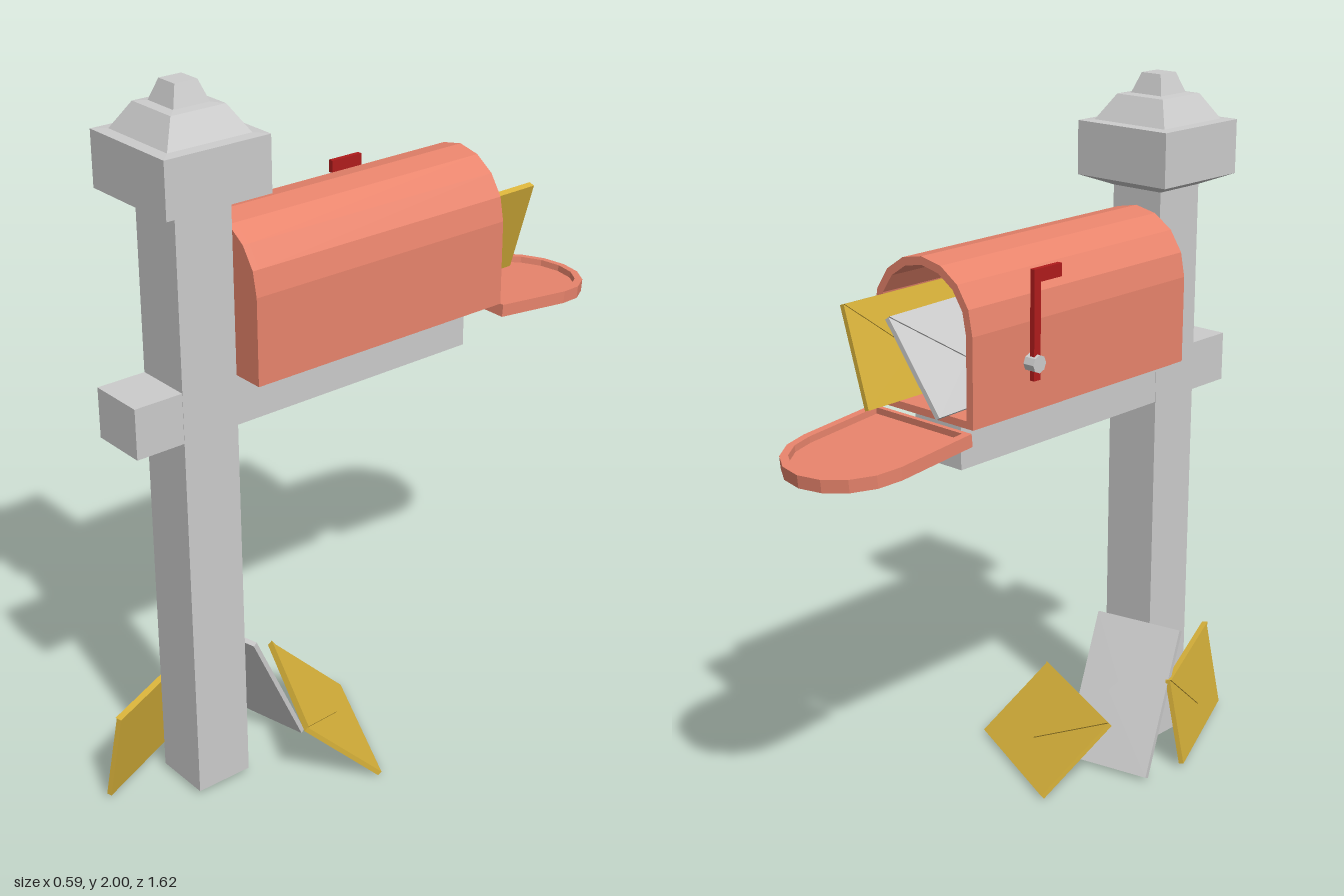
import * as THREE from 'three';

const mat = (color) => new THREE.MeshStandardMaterial({ color, flatShading: true });
const GREY = mat(0xcccccc), SALMON = mat(0xe8846c), YELLOW = mat(0xd8b23a), RED = mat(0xb01c1c);

function mesh(name, geometry, material, x = 0, y = 0, z = 0) {
  const m = new THREE.Mesh(geometry, material);
  m.name = name;
  m.position.set(x, y, z);
  return m;
}
const box = (name, material, w, h, d, x, y, z) =>
  mesh(name, new THREE.BoxGeometry(w, h, d), material, x, y, z);

// Round-topped outline: straight sides, then a half circle
function arch(r, y0, y1, Type = THREE.Shape) {
  const s = new Type();
  s.moveTo(-r, y0);
  s.lineTo(r, y0);
  s.lineTo(r, y1);
  s.absarc(0, y1, r, 0, Math.PI, false);
  s.closePath();
  return s;
}
const extrude = (shape, depth) =>
  new THREE.ExtrudeGeometry(shape, { depth, bevelEnabled: false, curveSegments: 4 });

// Envelope from one corner, its long edge and its short edge; the flap lies on the long x short side
function envelope(name, material, corner, long, short) {
  const o = new THREE.Vector3(...corner), u = new THREE.Vector3(...long), v = new THREE.Vector3(...short);
  const w = u.length(), h = v.length(), t = 0.014;
  const g = new THREE.Group();
  g.name = name;
  g.add(box('envelopeBody', material, w, h, t, 0, 0, 0));
  const flap = new THREE.Shape([
    new THREE.Vector2(-w / 2, h / 2), new THREE.Vector2(0, -h * 0.16), new THREE.Vector2(w / 2, h / 2)]);
  g.add(mesh('envelopeFlap', extrude(flap, 0.004), material, 0, 0, t / 2));
  const x = u.clone().normalize(), z = u.clone().cross(v).normalize(), y = z.clone().cross(x);
  g.quaternion.setFromRotationMatrix(new THREE.Matrix4().makeBasis(x, y, z));
  g.position.copy(o).addScaledVector(u, 0.5).addScaledVector(v, 0.5);
  return g;
}

export function createModel() {
  const model = new THREE.Group();
  model.name = 'mailboxOnPost';

  // Post, arm and mailbox share a slight turn about the post
  const stand = new THREE.Group();
  stand.name = 'stand';
  stand.position.set(-0.042, 0, 0.525);
  stand.rotation.y = -0.018;
  model.add(stand);

  stand.add(box('post', GREY, 0.167, 1.685, 0.167, 0, 0.8575, 0));
  stand.add(box('crossArm', GREY, 0.165, 0.14, 1.09, 0, 1.16, -0.32));

  // Stepped square cap: half width, height
  const cap = [[0.083, 1.69], [0.155, 1.72], [0.155, 1.87], [0.123, 1.872], [0.08, 1.942],
    [0.053, 1.945], [0.033, 2.0], [0, 2.0]]
    .map(([r, y]) => new THREE.Vector2(r * Math.SQRT2, y));
  const capMesh = mesh('postCap', new THREE.LatheGeometry(cap, 4), GREY);
  capMesh.rotation.y = Math.PI / 4;
  stand.add(capMesh);

  // Hollow mailbox, open at the back
  const shell = arch(0.175, 1.23, 1.47);
  shell.holes.push(arch(0.153, 1.25, 1.47, THREE.Path));
  stand.add(mesh('mailboxShell', extrude(shell, 0.81), SALMON, 0, 0, -0.915));
  stand.add(mesh('mailboxEndWall', extrude(arch(0.175, 1.23, 1.47), 0.02), SALMON, 0, 0, -0.105));

  // Lowered door with a raised rim
  const door = new THREE.Group();
  door.name = 'door';
  door.position.set(0, 1.19, -0.92);
  door.rotation.x = -Math.PI / 2 - 0.1;
  const rim = arch(0.178, 0, 0.242);
  rim.holes.push(arch(0.156, 0.012, 0.242, THREE.Path));
  door.add(mesh('doorPanel', extrude(arch(0.178, 0, 0.242), 0.017), SALMON));
  door.add(mesh('doorRim', extrude(rim, 0.018), SALMON, 0, 0, 0.017));
  stand.add(door);

  // Raised flag on its pivot
  const flag = new THREE.Group();
  flag.name = 'flag';
  flag.position.set(-0.196, 1.365, -0.71);
  flag.add(box('flagPole', RED, 0.014, 0.29, 0.024, 0, 0.1, 0));
  flag.add(box('flagTip', RED, 0.014, 0.035, 0.078, 0, 0.2275, 0.051));
  const pivot = mesh('flagPivot', new THREE.CylinderGeometry(0.024, 0.024, 0.034, 8), GREY, 0.002, 0, 0);
  pivot.rotation.z = Math.PI / 2;
  flag.add(pivot);
  stand.add(flag);

  // Letters in the box
  model.add(envelope('yellowLetterInBox', YELLOW, [0.025, 1.268, -0.54], [0, 0, 0.44], [0.08, 0.26, 0]));
  model.add(envelope('greyLetterInBox', GREY, [-0.135, 1.26, -0.45], [0.02, 0, 0.44], [0.165, 0.23, -0.01]));

  // Letters around the foot of the post
  model.add(envelope('greyLetterBehindPost', GREY, [0.04, 0.405, 0.405], [-0.035, -0.395, -0.19], [-0.265, 0, 0.055]));
  model.add(envelope('yellowLetterBesidePost', YELLOW, [-0.285, 0.012, 0.4], [0.17, 0, 0.405], [0.045, 0.265, -0.018]));
  model.add(envelope('yellowLetterOnGround', YELLOW, [0.295, 0.006, 0.175], [-0.4, 0, -0.19], [-0.09, 0.19, 0.19]));

  return model;
}
